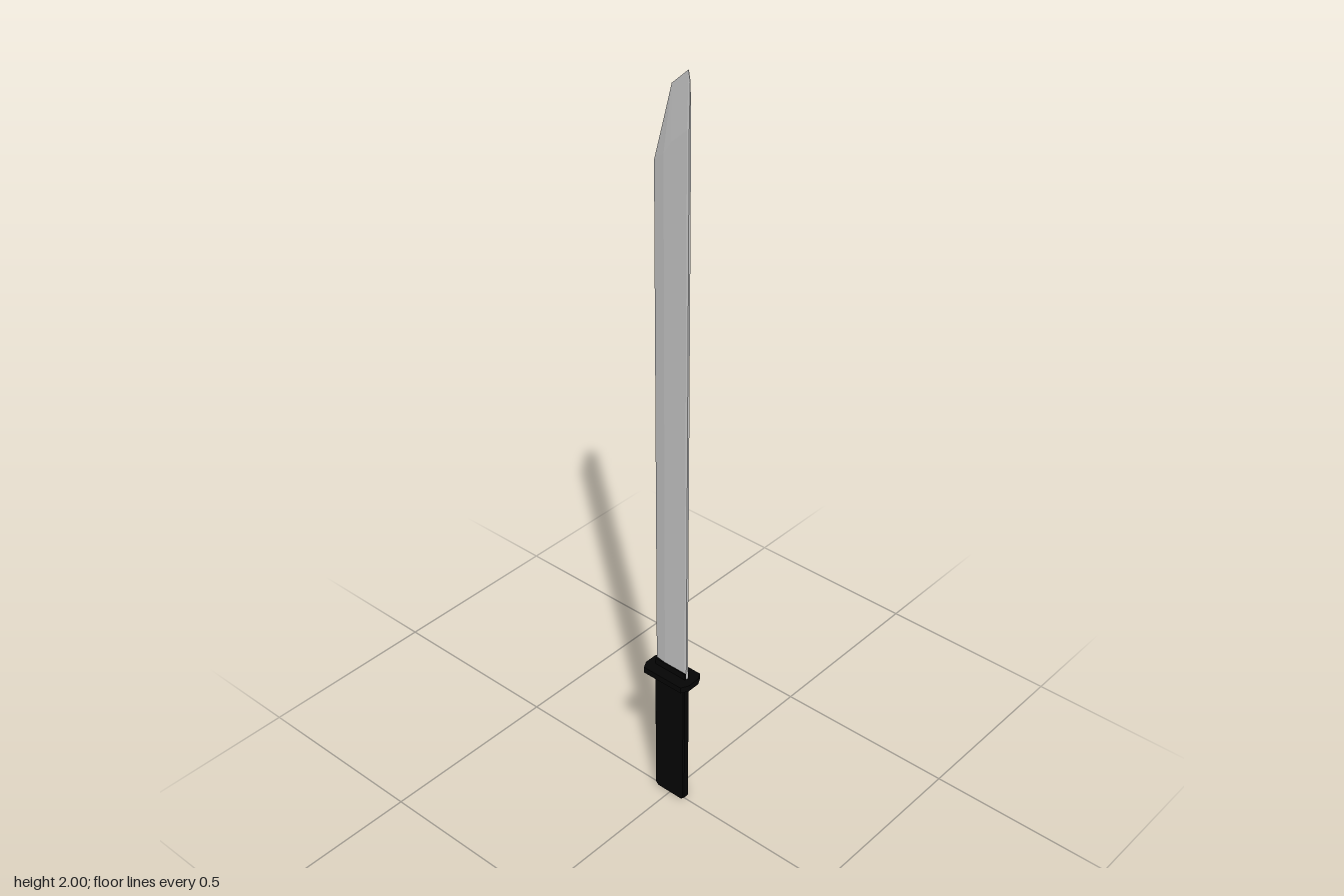
import * as THREE from 'three';

const steel = new THREE.MeshStandardMaterial({ color: 0xcccccc, flatShading: true, side: THREE.DoubleSide });
const black = new THREE.MeshStandardMaterial({ color: 0x050505, flatShading: true });

// Box-like plate with cut corners, seen along its thickness
function cutPlate(w, h, cx, cy, depth, bevel = 0) {
  const x = w / 2 - bevel, y = h / 2 - bevel;
  const shape = new THREE.Shape([
    [-x + cx, -y], [x - cx, -y], [x, -y + cy], [x, y - cy],
    [x - cx, y], [-x + cx, y], [-x, y - cy], [-x, -y + cy],
  ].map(([a, b]) => new THREE.Vector2(a, b)));
  const geometry = new THREE.ExtrudeGeometry(shape, {
    depth: depth - 2 * bevel, bevelEnabled: bevel > 0,
    bevelSize: bevel, bevelThickness: bevel, bevelSegments: 1,
  });
  geometry.center();
  return geometry;
}

// Single-edged blade: columns run from the sharp edge to the spine
function bladeGeometry() {
  // x, shoulder height, top height, half thickness
  const columns = [
    [-0.05, 1.775, 1.775, 0.0006],
    [-0.02, 1.80, 1.885, 0.004],
    [0, 1.83, 1.96, 0.004],
    [0.045, 1.87, 2.0, 0.004],
    [0.05, 1.87, 1.975, 0.003],
  ];
  // Each row is a closed loop: front side out, back side home
  const loop = (height, half) => [
    ...columns.map((c) => [c[0], height(c), half(c)]),
    ...columns.slice().reverse().map((c) => [c[0], height(c), -half(c)]),
  ];
  const rows = [
    loop(() => 0.4, (c) => c[3]),
    loop((c) => c[1], (c) => c[3]),
    loop((c) => c[2], () => 0.0006),
  ];
  const n = columns.length * 2, index = [];
  for (let r = 0; r < rows.length - 1; r++) {
    for (let i = 0; i < n; i++) {
      const a = r * n + i, b = r * n + (i + 1) % n;
      index.push(a, b, b + n, a, b + n, a + n);
    }
  }
  // Close the thin top
  const top = (rows.length - 1) * n;
  for (let i = 0; i < columns.length - 1; i++) {
    const a = top + i, b = a + 1, c = top + n - 2 - i, d = c + 1;
    index.push(a, b, c, a, c, d);
  }
  const geometry = new THREE.BufferGeometry();
  geometry.setAttribute('position', new THREE.Float32BufferAttribute(rows.flat(2), 3));
  geometry.setIndex(index);
  geometry.computeVertexNormals();
  return geometry;
}

export function createModel() {
  const group = new THREE.Group();
  const add = (name, geometry, material, y) => {
    const mesh = new THREE.Mesh(geometry, material);
    mesh.name = name;
    mesh.position.y = y;
    group.add(mesh);
  };

  add('blade', bladeGeometry(), steel, 0);

  // Slim grip with softened edges
  add('handle', cutPlate(0.098, 0.392, 0.008, 0.008, 0.021, 0.003), black, 0.196);

  // Hand guard with cut corners, lying flat
  add('guard', cutPlate(0.142, 0.074, 0.01, 0.019, 0.017).rotateX(-Math.PI / 2), black, 0.398);

  // Fittings above and below the guard
  add('bladeCollar', new THREE.BoxGeometry(0.098, 0.02, 0.014), black, 0.414);
  add('gripCollar', new THREE.BoxGeometry(0.112, 0.01, 0.03), black, 0.387);
  return group;
}
